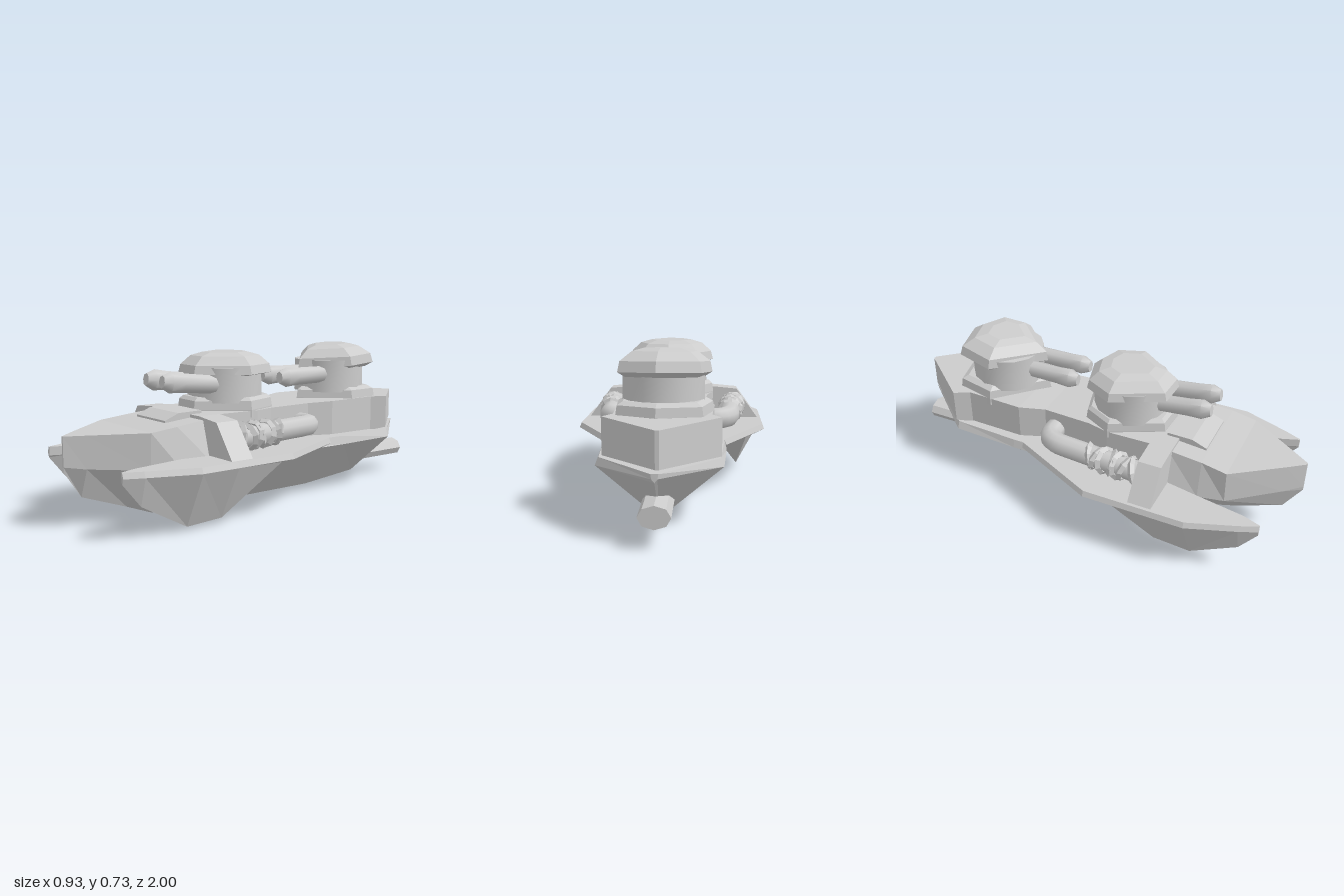
import * as THREE from 'three';
import { toCreasedNormals } from 'three/addons/utils/BufferGeometryUtils.js';

const flat = new THREE.MeshStandardMaterial({ color: 0xcccccc, flatShading: true, side: THREE.DoubleSide });
const smooth = new THREE.MeshStandardMaterial({ color: 0xcccccc, side: THREE.DoubleSide });

// Skin through equal-count rings: counter-clockwise seen from +z, listed from back to front
function loft(sections) {
  const n = sections[0].ring.length, pos = [], idx = [];
  sections.forEach(({ z, ring }) => ring.forEach(([x, y]) => pos.push(x, y, z)));
  for (let s = 0; s < sections.length - 1; s++) {
    for (let i = 0; i < n; i++) {
      const a = s * n + i, b = s * n + (i + 1) % n;
      idx.push(a, b, b + n, a, b + n, a + n);
    }
  }
  const last = (sections.length - 1) * n;
  for (let i = 1; i < n - 1; i++) idx.push(0, i + 1, i, last, last + i, last + i + 1);
  const g = new THREE.BufferGeometry();
  g.setAttribute('position', new THREE.Float32BufferAttribute(pos, 3));
  g.setIndex(idx);
  const out = g.toNonIndexed();
  out.computeVertexNormals();
  return out;
}

function add(parent, name, geometry, material = flat) {
  const m = new THREE.Mesh(geometry, material);
  m.name = name;
  parent.add(m);
  return m;
}

// V-shaped hull section: rim half width and height, chine half width and height, keel height
const vee = (z, w, yt, c, yc, yk, x = 0.01) => ({
  z, ring: [[x + w, yt], [x - w, yt], [x - c, yc], [x, yk], [x + c, yc]],
});
const slab = (z, w, y0, y1) => ({ z, ring: [[w, y0], [w, y1], [-w, y1], [-w, y0]] });

// Upright faceted solid from [height, radius] levels over an [x, z] outline
const bluntNose = [[0.25, 1], [0.98, 0], [0.7, -0.78], [0.05, -1], [-0.65, -0.8], [-0.98, -0.15], [-0.42, 0.97]];
const sharpNose = [[0.05, 1], [0.9, 0.1], [0.85, -0.65], [0.1, -1], [-0.75, -0.8], [-0.95, 0.05]];
function faceted(outline, levels) {
  const g = loft(levels.map(([y, r]) => ({ z: y, ring: outline.map(([x, z]) => [x * r, -z * r]) })));
  return g.rotateX(-Math.PI / 2);
}

function turret({ name, z, outline, baseRadius, capLevels, capTilt, gunHeight, gunPitch }) {
  const t = new THREE.Group();
  t.name = name;
  t.position.set(0, 0, z);
  add(t, 'turretBase', faceted(outline, [[0.42, baseRadius], [0.455, baseRadius], [0.495, baseRadius * 0.97], [0.51, 0.19]]));
  const body = new THREE.CylinderGeometry(0.175, 0.178, 0.16, 14).translate(0, 0.565, 0);
  add(t, 'turretBody', toCreasedNormals(body, 0.7), smooth);
  const cap = faceted(outline, capLevels).translate(0, -0.63, 0);
  const capMesh = add(t, 'turretCap', cap);
  capMesh.position.y = 0.63;
  capMesh.rotation.x = capTilt;
  // Twin guns with a narrowed tip
  for (const x of [-0.045, 0.09]) {
    const profile = [[0, 0.1], [0.034, 0.1], [0.036, 0.3], [0.04, 0.365], [0.024, 0.405], [0, 0.405]];
    const g = new THREE.LatheGeometry(profile.map(p => new THREE.Vector2(...p)), 8);
    g.rotateX(Math.PI / 2).scale(1, 1.2, 1);
    const gun = add(t, 'gunBarrel', toCreasedNormals(g, 0.8), smooth);
    gun.position.set(x, gunHeight, 0);
    gun.rotation.x = gunPitch;
  }
  return t;
}

export function createModel() {
  const ship = new THREE.Group();
  ship.name = 'warship';

  // Main hull with raised bow
  add(ship, 'hull', loft([
    vee(-0.97, 0.015, 0.285, 0.012, 0.265, 0.25),
    vee(-0.68, 0.25, 0.285, 0.265, 0.25, 0.03),
    vee(-0.35, 0.27, 0.29, 0.28, 0.25, 0),
    vee(0.4, 0.25, 0.29, 0.27, 0.25, 0),
    vee(0.42, 0.215, 0.44, 0.27, 0.25, 0, 0.015),
    vee(0.58, 0.222, 0.425, 0.25, 0.25, 0.005, 0.02),
    vee(0.7, 0.222, 0.41, 0.215, 0.25, 0.05, 0.01),
    vee(0.92, 0.064, 0.403, 0.06, 0.26, 0.13, 0.02),
    vee(1.0, 0.005, 0.4, 0.004, 0.27, 0.25, 0.025),
  ]));

  // Deckhouse flaring at the stern, then running to the cross beam
  add(ship, 'deckhouse', loft([
    slab(-0.97, 0.008, 0.3, 0.45), slab(-0.69, 0.245, 0.295, 0.455), slab(-0.62, 0.205, 0.28, 0.455),
    slab(-0.34, 0.215, 0.28, 0.455), slab(-0.22, 0.17, 0.28, 0.45), slab(0.02, 0.18, 0.28, 0.45),
    slab(0.12, 0.205, 0.28, 0.45), slab(0.44, 0.2, 0.28, 0.452),
  ]));
  const wedge = loft([slab(0.38, 0.12, 0.4, 0.465), slab(0.5, 0.12, 0.4, 0.463), slab(0.57, 0.12, 0.4, 0.435)]);
  add(ship, 'foredeckWedge', wedge).position.x = 0.01;

  // Cross beam joining the side floats
  const beam = [[0.44, 0.29], [0.33, 0.44], [0.2, 0.452], [-0.2, 0.452], [-0.33, 0.44], [-0.44, 0.29], [-0.25, 0.25], [0.25, 0.25]];
  add(ship, 'crossBeam', loft([0.33, 0.44].map(z => ({ z, ring: beam }))));

  // Side floats: outer edge, inner edge, keel height, keel position
  const floatSection = (z, out, inn, yk, xk) => ({
    z, ring: [[out - 0.01, 0.29], [inn, 0.29], [inn, 0.25], [xk, yk], [out, 0.265]],
  });
  const floatGeo = loft([
    floatSection(-0.3, 0.27, 0.2, 0.24, 0.23),
    floatSection(0.12, 0.465, 0.2, 0.238, 0.38),
    floatSection(0.42, 0.465, 0.235, 0.025, 0.335),
    floatSection(0.6, 0.465, 0.268, 0.018, 0.34),
    floatSection(0.82, 0.385, 0.305, 0.14, 0.345),
    floatSection(0.9, 0.35, 0.334, 0.24, 0.342),
  ]);

  // Side hose, bent inward at its back end
  const path = new THREE.CurvePath();
  const v = (x, y, z) => new THREE.Vector3(x, y, z);
  path.add(new THREE.LineCurve3(v(0.305, 0.355, 0.36), v(0.285, 0.365, -0.06)));
  path.add(new THREE.QuadraticBezierCurve3(v(0.285, 0.365, -0.06), v(0.28, 0.365, -0.165), v(0.2, 0.36, -0.165)));
  path.add(new THREE.LineCurve3(v(0.2, 0.36, -0.165), v(0.1, 0.36, -0.165)));
  const hoseGeo = new THREE.TubeGeometry(path, 30, 0.05, 10);

  for (const side of [1, -1]) {
    const g = new THREE.Group();
    g.name = side > 0 ? 'leftSide' : 'rightSide';
    g.scale.x = side;
    add(g, 'sideFloat', floatGeo);
    add(g, 'hose', hoseGeo, smooth);
    // Crooked wrapping bands, thicker towards the beam
    for (let i = 0; i < 7; i++) {
      const band = add(g, 'hoseBand', new THREE.TorusGeometry(0.05 + 0.001 * i, 0.016, 4, 9));
      band.position.set(0.29 + 0.003 * i, 0.36, 0.08 + i * 0.037);
      band.rotation.set(i % 2 ? 0.25 : -0.2, i % 3 ? 0.3 : -0.25, i);
    }
    ship.add(g);
  }

  // Gun turrets: a blunt flat one in front, a pointed peaked one behind
  ship.add(turret({
    name: 'frontTurret', z: 0.155, outline: bluntNose, baseRadius: 0.213,
    capLevels: [[0.605, 0.17], [0.615, 0.21], [0.655, 0.2], [0.695, 0.155], [0.71, 0.1]],
    capTilt: 0, gunHeight: 0.555, gunPitch: -0.11,
  }));
  ship.add(turret({
    name: 'rearTurret', z: -0.51, outline: sharpNose, baseRadius: 0.225,
    capLevels: [[0.6, 0.18], [0.62, 0.215], [0.665, 0.205], [0.705, 0.15], [0.72, 0.09]],
    capTilt: 0.07, gunHeight: 0.575, gunPitch: 0,
  }));

  // Exhaust pipe under the stern
  const exhaust = new THREE.CylinderGeometry(0.065, 0.065, 0.34, 8).rotateX(Math.PI / 2).scale(1, 0.72, 1);
  add(ship, 'exhaustPipe', exhaust).position.set(0.01, 0.125, -0.83);
  return ship;
}
